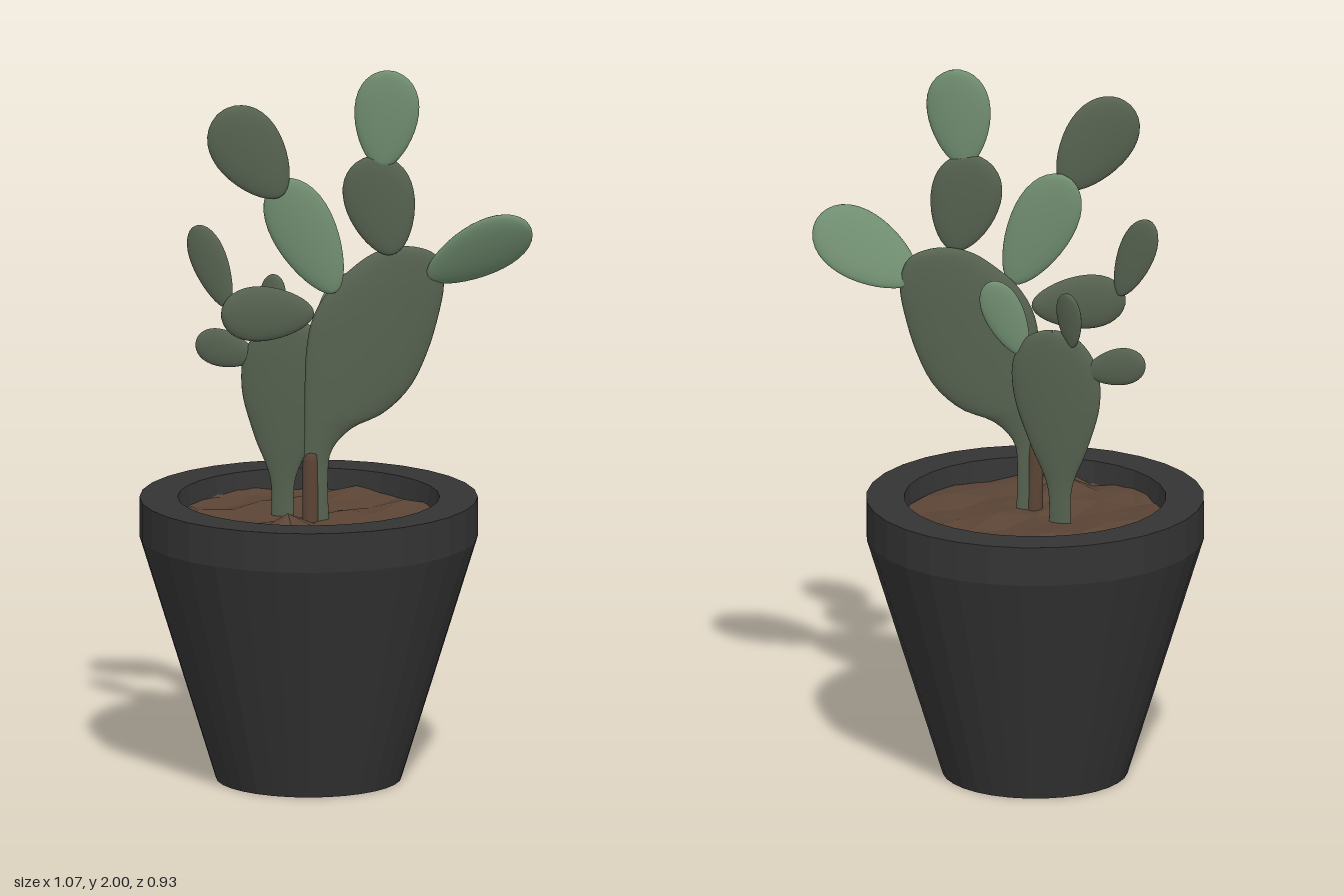
import * as THREE from 'three';

const mat = (name, color) => new THREE.MeshStandardMaterial({ name, color });

const faceted = (geo) => {
  const g = geo.toNonIndexed();
  g.computeVertexNormals();
  return g;
};

// Flat, rounded pad lofted from rows of [height, left edge, right edge]
function loftPad(rows, depth) {
  const N = 24, pos = [], index = [];
  const widest = Math.max(...rows.map(([, l, r]) => r - l));
  rows.forEach(([y, l, r], i) => {
    const half = Math.max(0, (r - l) / 2), mid = (l + r) / 2;
    const t = depth * Math.sqrt(2 * half / widest);
    for (let j = 0; j < N; j++) {
      const a = j / N * Math.PI * 2;
      pos.push(mid + half * Math.cos(a), y, t * Math.sin(a));
      if (i === rows.length - 1) continue;
      const p = i * N + j, q = i * N + (j + 1) % N;
      index.push(p, p + N, q, q, p + N, q + N);
    }
  });
  const geo = new THREE.BufferGeometry();
  geo.setAttribute('position', new THREE.Float32BufferAttribute(pos, 3));
  geo.setIndex(index);
  geo.computeVertexNormals();
  return geo;
}

// Extra rows along a smooth curve through the given ones
const smoothRows = (rows) =>
  new THREE.CatmullRomCurve3(rows.map((r) => new THREE.Vector3(...r)))
    .getPoints(40).map((p) => p.toArray());

// Egg-shaped rows, narrower at the base
function eggRows(length, width) {
  const rows = [];
  for (let i = 0; i <= 18; i++) {
    const a = i / 18 * Math.PI;
    const h = width / 2 * Math.sin(a) * (1 - 0.22 * Math.cos(a)) / 1.02;
    rows.push([length * (1 - Math.cos(a)) / 2, -h, h]);
  }
  return rows;
}

export function createModel() {
  const model = new THREE.Group();
  const potMat = mat('charcoal', 0x343434);
  const soilMat = mat('soil brown', 0x5a4435);
  const dark = mat('dark green', 0x566250);
  const light = mat('light green', 0x708d70);
  const add = (name, geo, material, parent = model) => {
    const m = new THREE.Mesh(geo, material);
    m.name = name;
    parent.add(m);
    return m;
  };
  const CX = -0.067;

  // Tapered pot with a straight rim and a hollow top
  const profile = [[0, 0], [0.255, 0], [0.465, 0.68], [0.465, 0.79], [0.36, 0.79], [0.335, 0.62], [0, 0.62]];
  const pot = add('pot', faceted(new THREE.LatheGeometry(profile.map((p) => new THREE.Vector2(...p)), 32)), potMat);
  pot.position.x = CX;

  // Lumpy soil: a square grid pulled into a disc
  const soilGeo = new THREE.PlaneGeometry(0.77, 0.77, 8, 8).rotateX(-Math.PI / 2);
  const sp = soilGeo.attributes.position;
  for (let i = 0; i < sp.count; i++) {
    const x = sp.getX(i), z = sp.getZ(i);
    const k = Math.min(1, 0.358 / Math.max(1e-6, Math.hypot(x, z)));
    const lump = Math.exp(-((x + 0.08) ** 2 + (z - 0.19) ** 2) / 0.004);
    const y = 0.735 + 0.014 * Math.sin(x * 17 + z * 6) * Math.cos(z * 19 - x * 5) + 0.055 * lump;
    sp.setXYZ(i, x * k, y, z * k);
  }
  add('soil', faceted(soilGeo), soilMat).position.x = CX;

  // Large front pad with its stem
  const front = add('frontTrunkPad', loftPad(smoothRows([
    [0.70, -0.095, -0.02], [0.85, -0.095, -0.025], [0.93, -0.092, -0.015], [0.99, -0.09, 0.04],
    [1.03, -0.09, 0.13], [1.10, -0.09, 0.205], [1.2, -0.087, 0.255], [1.3, -0.07, 0.285],
    [1.38, -0.025, 0.30], [1.44, 0.04, 0.292], [1.475, 0.09, 0.27], [1.493, 0.14, 0.225], [1.497, 0.18, 0.182],
  ]), 0.026), dark);
  front.position.z = 0.06;

  // Woody patch at the foot of the stem
  const bark = add('barkPatch', loftPad([
    [0.72, -0.096, -0.05], [0.90, -0.096, -0.052], [0.925, -0.088, -0.054], [0.93, -0.075, -0.07],
  ], 0.02), soilMat);
  bark.position.z = 0.06;

  // Smaller plant behind, turned slightly
  const back = add('backTrunkPad', loftPad(smoothRows([
    [0.70, -0.042, 0.02], [0.83, -0.045, 0.025], [0.95, -0.09, 0.075], [1.08, -0.125, 0.12],
    [1.18, -0.118, 0.125], [1.25, -0.075, 0.09], [1.278, -0.02, 0.04], [1.28, 0.005, 0.01],
  ]), 0.022), dark);
  back.position.set(-0.12, 0, -0.048);
  back.rotation.y = -0.4;

  // Pads: name, base, tip, width, facing direction, colour
  const pads = [
    ['leftMiddlePad', [-0.01, 1.38, 0.085], [-0.16, 1.695, 0.045], 0.18, [-0.3, 0, 1], light],
    ['leftTopPad', [-0.155, 1.655, 0.065], [-0.325, 1.90, 0.065], 0.195, [0, 0, 1], dark],
    ['rightMiddlePad', [0.15, 1.48, 0.085], [0.09, 1.757, 0.07], 0.195, [-0.25, 0, 1], dark],
    ['rightTopPad', [0.12, 1.725, 0.08], [0.145, 2.0, 0.09], 0.178, [-0.3, 0, 1], light],
    ['sidePad', [0.255, 1.405, 0.065], [0.52, 1.565, 0.15], 0.195, [0, -0.48, 0.87], light],
    ['lowArmPad', [-0.065, 1.32, 0.065], [-0.325, 1.33, 0.065], 0.155, [0, 0, 1], dark],
    ['lowArmTipPad', [-0.305, 1.345, 0.052], [-0.385, 1.57, 0.01], 0.105, [-0.55, 0, 1], dark],
    ['backSidePad', [-0.2, 1.17, -0.085], [-0.355, 1.21, -0.14], 0.105, [-0.4, 0, 1], dark],
    ['backTopPad', [-0.16, 1.24, -0.075], [-0.145, 1.40, -0.09], 0.085, [-1, 0, 1], dark],
    ['backInnerPad', [-0.035, 1.2, -0.005], [0.06, 1.412, 0.002], 0.11, [-0.12, 0, 1], light],
  ];
  for (const [name, b, t, width, face, material] of pads) {
    const base = new THREE.Vector3(...b);
    const up = new THREE.Vector3(...t).sub(base);
    const length = up.length();
    up.normalize();
    const side = up.clone().cross(new THREE.Vector3(...face)).normalize();
    const normal = side.clone().cross(up);
    const pad = add(name, loftPad(eggRows(length, width), Math.min(0.02, width * 0.13)), material);
    pad.quaternion.setFromRotationMatrix(new THREE.Matrix4().makeBasis(side, up, normal));
    pad.position.copy(base);
  }
  return model;
}
